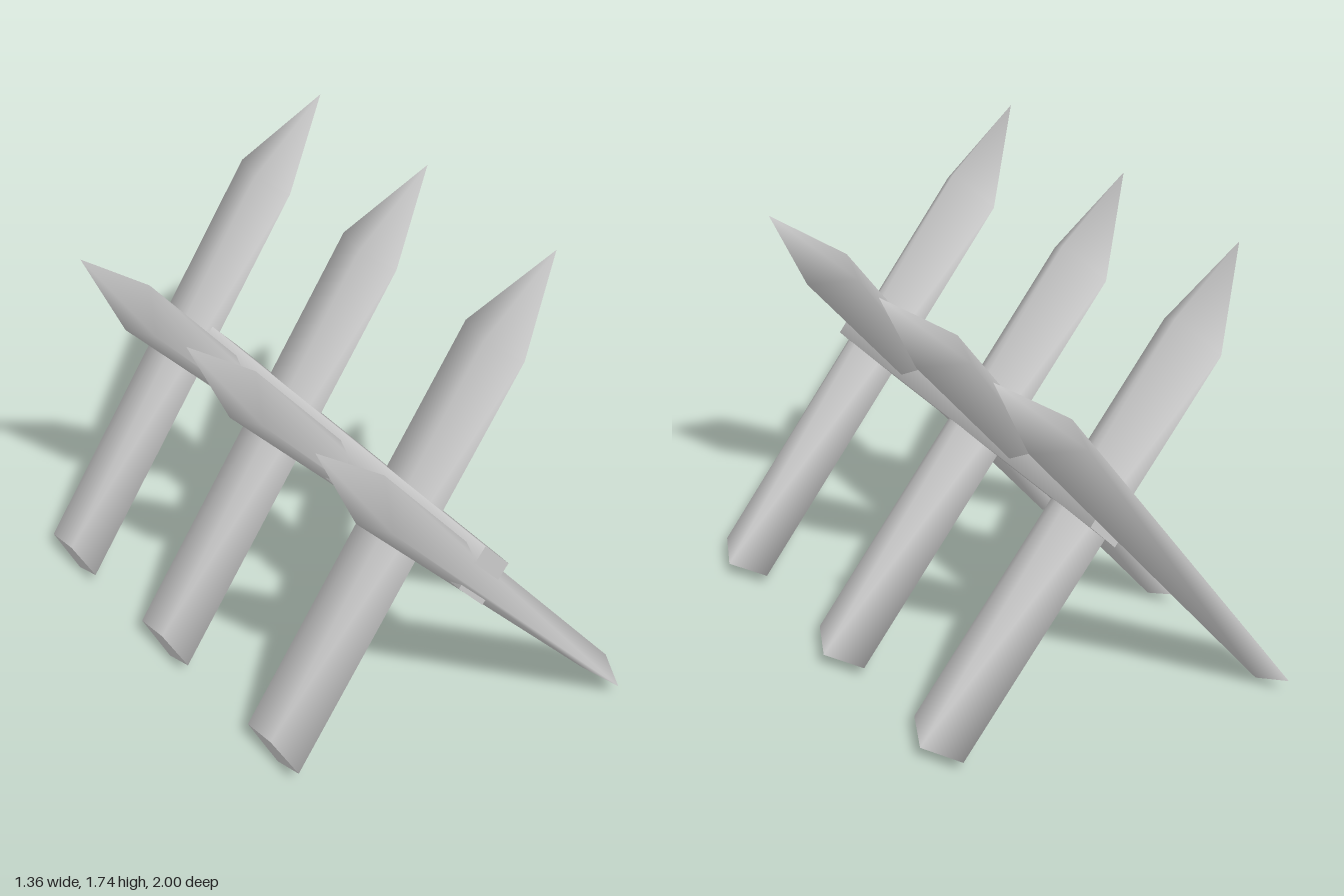
import * as THREE from 'three';

const material = new THREE.MeshStandardMaterial({ color: 0xcccccc });

// Pointed stake with a flattened diamond section; its tip is the origin and it hangs down -y.
function stakeGeometry() {
  const halfWidth = 0.156;
  // each section: [x, y] of the thin side, the two lateral edges, the thick side
  const ring = ([t, s, u]) => [
    [t[0], t[1], 0], [s[0], s[1], halfWidth], [u[0], u[1], 0], [s[0], s[1], -halfWidth],
  ];
  const foot = ring([[-0.064, -2.036], [-0.034, -2.061], [0.027, -2.112]]);
  const shoulder = ring([[-0.107, -0.384], [-0.056, -0.369], [0.072, -0.342]]);
  const points = [...foot, ...shoulder, [0, 0, 0], ...foot];
  const index = [];
  for (let i = 0; i < 4; i++) {
    const j = (i + 1) % 4;
    index.push(i, j, 4 + j, i, 4 + j, 4 + i); // shaft
    index.push(4 + i, 4 + j, 8);              // point
  }
  index.push(9, 11, 10, 9, 12, 11);           // slanted foot cut
  const geometry = new THREE.BufferGeometry();
  geometry.setAttribute('position', new THREE.Float32BufferAttribute(points.flat(), 3));
  geometry.setIndex(index);
  geometry.computeVertexNormals();
  return geometry;
}

export function createModel() {
  const model = new THREE.Group();
  model.name = 'spikedBarricade';
  const stake = stakeGeometry();

  // Two crossing rows of stakes, alternating along z
  const rows = [
    { name: 'leftLeaningStake', x: 0.6, y: 1.74, angle: -35.5, zs: [-0.844, -0.2, 0.5] },
    { name: 'rightLeaningStake', x: -0.685, y: 1.68, angle: 39.5, zs: [-0.507, 0.14, 0.844] },
  ];
  for (const { name, x, y, angle, zs } of rows) {
    zs.forEach((z, i) => {
      const mesh = new THREE.Mesh(stake, material);
      mesh.name = name + (i + 1);
      mesh.position.set(x, y, z);
      mesh.rotation.z = THREE.MathUtils.degToRad(angle);
      model.add(mesh);
    });
  }

  // Four-sided crossbeam through the crossing
  const beamGeometry = new THREE.CylinderGeometry(1, 1, 1.61, 4);
  beamGeometry.rotateX(Math.PI / 2);
  beamGeometry.scale(0.11, 0.132, 1);
  const beam = new THREE.Mesh(beamGeometry, material);
  beam.name = 'crossbeam';
  beam.position.set(-0.03, 0.888, 0.115);
  model.add(beam);

  return model;
}
